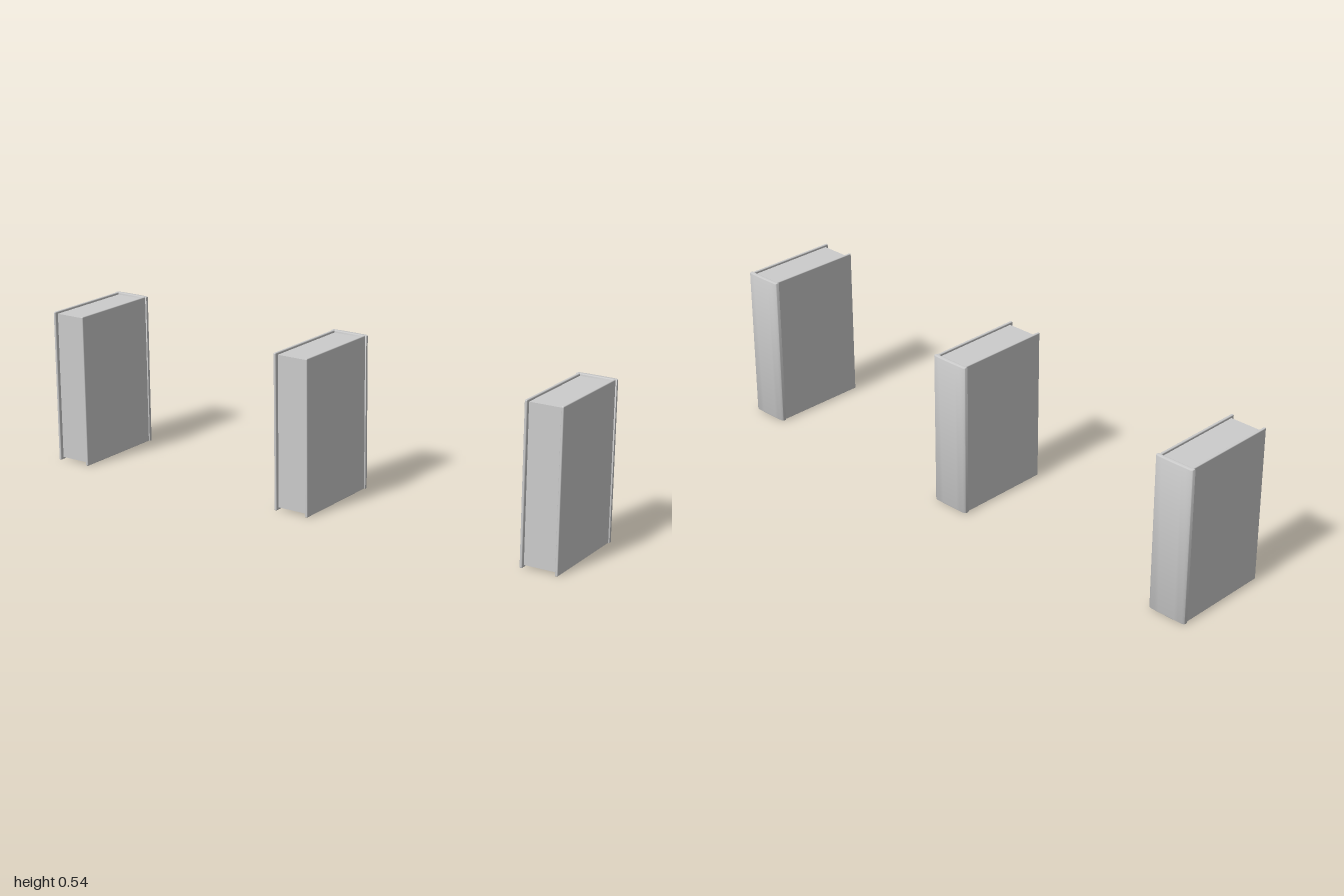
import * as THREE from 'three';
import { RoundedBoxGeometry } from 'three/addons/geometries/RoundedBoxGeometry.js';
import { toCreasedNormals } from 'three/addons/utils/BufferGeometryUtils.js';

const HEIGHT = 0.542, BEVEL = 0.003;
const material = new THREE.MeshStandardMaterial({ color: 0xcccccc });

function part(name, geometry, x = 0, y = 0, z = 0) {
  const mesh = new THREE.Mesh(geometry, material);
  mesh.name = name;
  mesh.position.set(x, y, z);
  return mesh;
}

// Gently bowed spine, a little wider than the covers; plan outline with shape y = -z
function spineGeometry() {
  const w = 0.071 - BEVEL;
  const shape = new THREE.Shape();
  shape.moveTo(-w, 0.167);
  shape.lineTo(w, 0.167);
  shape.lineTo(w, 0.171);
  shape.quadraticCurveTo(w, 0.175, w - 0.006, 0.176);
  shape.quadraticCurveTo(0, 0.179, -w + 0.006, 0.176);
  shape.quadraticCurveTo(-w, 0.175, -w, 0.171);
  shape.closePath();
  const geometry = new THREE.ExtrudeGeometry(shape, {
    depth: HEIGHT - 2 * BEVEL, bevelSize: BEVEL, bevelThickness: BEVEL,
    bevelSegments: 2, curveSegments: 8,
  });
  geometry.rotateX(-Math.PI / 2).translate(0, BEVEL, 0);
  return toCreasedNormals(geometry, 0.6);
}

function createBook(name) {
  const book = new THREE.Group();
  book.name = name;

  // Hard covers
  const cover = new RoundedBoxGeometry(0.009, HEIGHT, 0.348, 2, BEVEL);
  book.add(part('leftCover', cover, 0.0615, HEIGHT / 2, 0.006));
  book.add(part('rightCover', cover, -0.0615, HEIGHT / 2, 0.006));

  book.add(part('spine', spineGeometry()));

  // Page block, recessed from the cover edges
  const pages = new THREE.BoxGeometry(0.116, HEIGHT - 0.016, 0.334);
  book.add(part('pages', pages, 0, HEIGHT / 2, 0));
  return book;
}

export function createModel() {
  const model = new THREE.Group();
  model.name = 'books';
  [-0.929, 0.007, 0.929].forEach((x, i) => {
    const book = createBook(['rightBook', 'middleBook', 'leftBook'][i]);
    book.position.x = x;
    model.add(book);
  });
  return model;
}
